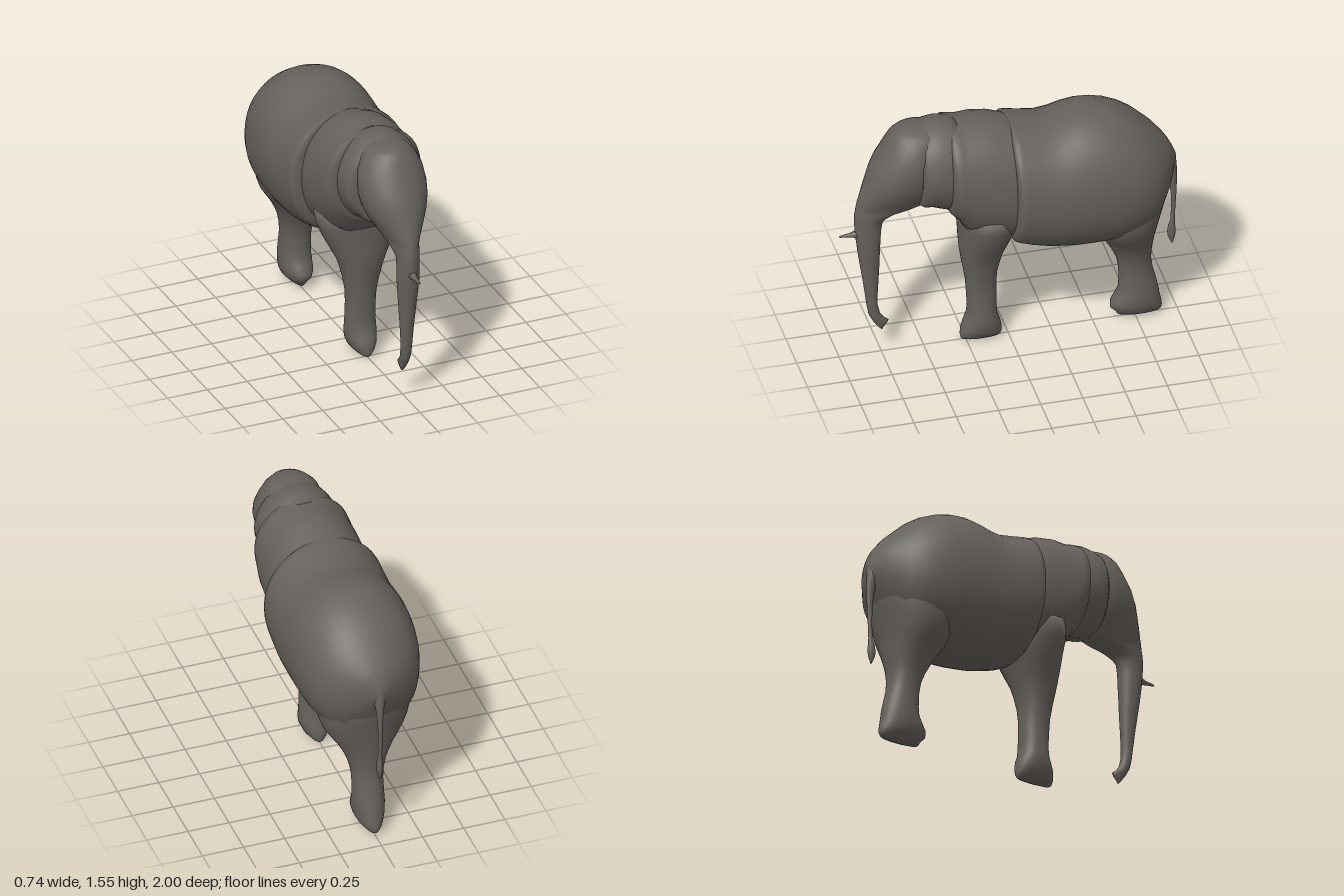
import * as THREE from 'three';

const SEG = 40;

// Closed loft through oval rings. Each row is [t, lo, hi, halfWidth]:
// axis 'z' stacks upright rings along z (lo..hi in y),
// axis 'y' stacks level rings along y (lo..hi in z).
function loft(rows, axis, power = 1) {
  const sorted = [...rows].sort((a, b) => a[0] - b[0]);
  const cap = ([t, lo, hi]) => [t, (lo + hi) / 2, (lo + hi) / 2, 0];
  const rings = [cap(sorted[0]), ...sorted, cap(sorted[sorted.length - 1])];
  const pos = [], index = [];
  const curve = (v) => Math.sign(v) * Math.abs(v) ** power;
  rings.forEach(([t, lo, hi, w], r) => {
    for (let i = 0; i < SEG; i++) {
      const a = (i / SEG) * Math.PI * 2;
      const x = w * curve(Math.cos(a));
      const b = (lo + hi) / 2 + ((hi - lo) / 2) * curve(Math.sin(a));
      if (axis === 'z') pos.push(x, b, t);
      else pos.push(x, t, b);
      if (r === rings.length - 1) continue;
      const p = r * SEG + i, q = r * SEG + ((i + 1) % SEG);
      if (axis === 'z') index.push(p, q, p + SEG, q, q + SEG, p + SEG);
      else index.push(p, p + SEG, q, q, p + SEG, q + SEG);
    }
  });
  const geo = new THREE.BufferGeometry();
  geo.setAttribute('position', new THREE.Float32BufferAttribute(pos, 3));
  geo.setIndex(index);
  geo.computeVertexNormals();
  return geo;
}

export function createModel() {
  const group = new THREE.Group();
  const hide = new THREE.MeshStandardMaterial({ color: 0x66615c });
  hide.name = 'grey hide';
  const add = (name, geo) => {
    const mesh = new THREE.Mesh(geo, hide);
    mesh.name = name;
    group.add(mesh);
  };

  // Barrel and rump
  add('barrel', loft([
    [-0.99, 1.03, 1.09, 0.02], [-0.97, 0.99, 1.14, 0.06], [-0.95, 0.94, 1.18, 0.11],
    [-0.92, 0.87, 1.225, 0.17], [-0.86, 0.75, 1.295, 0.25], [-0.8, 0.69, 1.35, 0.295],
    [-0.75, 0.66, 1.395, 0.32], [-0.68, 0.64, 1.44, 0.345], [-0.6, 0.625, 1.475, 0.36],
    [-0.52, 0.62, 1.495, 0.367], [-0.44, 0.62, 1.5, 0.37], [-0.36, 0.623, 1.487, 0.37],
    [-0.28, 0.633, 1.463, 0.37], [-0.2, 0.645, 1.452, 0.37], [-0.1, 0.67, 1.468, 0.367],
    [-0.03, 0.695, 1.482, 0.365], [0, 0.71, 1.485, 0.36], [0.02, 0.75, 1.48, 0.32],
  ], 'z', 0.94));

  // Shoulders, neck fold
  add('shoulders', loft([
    [-0.06, 0.74, 1.474, 0.29], [0.02, 0.74, 1.49, 0.305], [0.1, 0.76, 1.52, 0.303],
    [0.2, 0.79, 1.535, 0.3], [0.28, 0.83, 1.526, 0.298], [0.32, 0.9, 1.53, 0.295],
    [0.36, 0.94, 1.535, 0.29], [0.385, 0.98, 1.52, 0.25],
  ], 'z', 0.94));
  add('neck', loft([
    [0.28, 0.9, 1.515, 0.22], [0.35, 0.955, 1.548, 0.245], [0.42, 0.98, 1.556, 0.246],
    [0.47, 1.0, 1.547, 0.244], [0.52, 1.005, 1.535, 0.235], [0.55, 1.02, 1.52, 0.2],
  ], 'z'));

  // Head running down into the trunk
  add('headAndTrunk', loft([
    [1.538, 0.5, 0.62, 0.04], [1.53, 0.45, 0.655, 0.085], [1.51, 0.4, 0.685, 0.125],
    [1.47, 0.4, 0.715, 0.16], [1.4, 0.4, 0.75, 0.19], [1.32, 0.4, 0.8, 0.2],
    [1.25, 0.4, 0.83, 0.197], [1.18, 0.4, 0.853, 0.18], [1.12, 0.4, 0.873, 0.152],
    [1.06, 0.42, 0.893, 0.115], [1.02, 0.48, 0.902, 0.092], [1.005, 0.53, 0.904, 0.086],
    [0.985, 0.63, 0.908, 0.078], [0.95, 0.71, 0.91, 0.068], [0.92, 0.742, 0.91, 0.063],
    [0.86, 0.752, 0.906, 0.064], [0.8, 0.756, 0.9, 0.065], [0.7, 0.76, 0.888, 0.058],
    [0.6, 0.763, 0.873, 0.05], [0.5, 0.768, 0.858, 0.042], [0.4, 0.773, 0.845, 0.036],
    [0.33, 0.772, 0.836, 0.033], [0.27, 0.758, 0.825, 0.03], [0.235, 0.735, 0.808, 0.027],
    [0.215, 0.708, 0.797, 0.025], [0.195, 0.718, 0.782, 0.021], [0.175, 0.735, 0.768, 0.014],
    [0.157, 0.743, 0.752, 0.005],
  ], 'y'));
  add('lowerLip', loft([
    [0.972, 0.43, 0.445, 0.012], [0.99, 0.41, 0.46, 0.035], [1.03, 0.38, 0.5, 0.08],
  ], 'y'));
  add('tusk', loft([
    [0.86, 0.81, 0.88, 0.035], [0.91, 0.822, 0.862, 0.02], [0.94, 0.828, 0.852, 0.012],
    [0.97, 0.831, 0.849, 0.009], [0.995, 0.834, 0.844, 0.005], [1, 0.838, 0.84, 0.001],
  ], 'z'));

  // Single centred legs, flaring up into the body
  add('frontLeg', loft([
    [0.003, 0.06, 0.265, 0.015], [0.015, 0.045, 0.28, 0.04], [0.04, 0.04, 0.285, 0.065],
    [0.08, 0.042, 0.28, 0.084], [0.12, 0.05, 0.265, 0.09], [0.16, 0.065, 0.248, 0.091],
    [0.22, 0.072, 0.24, 0.088], [0.32, 0.073, 0.246, 0.086], [0.4, 0.073, 0.251, 0.09],
    [0.48, 0.068, 0.262, 0.105], [0.56, 0.05, 0.277, 0.125], [0.62, 0.035, 0.285, 0.145],
    [0.7, 0.005, 0.29, 0.185], [0.78, -0.02, 0.292, 0.225], [0.86, -0.04, 0.3, 0.255],
    [0.95, -0.04, 0.3, 0.27],
  ], 'y', 0.9));
  add('hindLeg', loft([
    [0.014, -0.88, -0.66, 0.015], [0.025, -0.905, -0.645, 0.042], [0.05, -0.91, -0.632, 0.066],
    [0.075, -0.907, -0.605, 0.08], [0.11, -0.9, -0.605, 0.09], [0.15, -0.892, -0.63, 0.092],
    [0.19, -0.885, -0.652, 0.092], [0.25, -0.872, -0.657, 0.09], [0.33, -0.852, -0.655, 0.09],
    [0.4, -0.843, -0.645, 0.098], [0.46, -0.846, -0.622, 0.113], [0.52, -0.853, -0.59, 0.138],
    [0.58, -0.86, -0.555, 0.172], [0.63, -0.868, -0.52, 0.207], [0.68, -0.877, -0.48, 0.24],
    [0.74, -0.89, -0.46, 0.262], [0.82, -0.91, -0.45, 0.275], [0.92, -0.93, -0.45, 0.27],
    [1.05, -0.93, -0.5, 0.22],
  ], 'y', 0.95));

  // Tail with tuft
  add('tail', loft([
    [1.12, -0.96, -0.88, 0.04], [1.06, -0.993, -0.88, 0.045], [1.0, -0.998, -0.9, 0.035],
    [0.96, -1, -0.938, 0.024], [0.9, -1, -0.953, 0.018], [0.8, -0.996, -0.964, 0.014],
    [0.7, -0.99, -0.965, 0.012], [0.62, -0.987, -0.962, 0.012], [0.58, -0.989, -0.948, 0.017],
    [0.54, -0.992, -0.942, 0.02], [0.51, -0.988, -0.946, 0.018], [0.48, -0.98, -0.958, 0.01],
    [0.46, -0.974, -0.968, 0.003],
  ], 'y'));

  return group;
}
